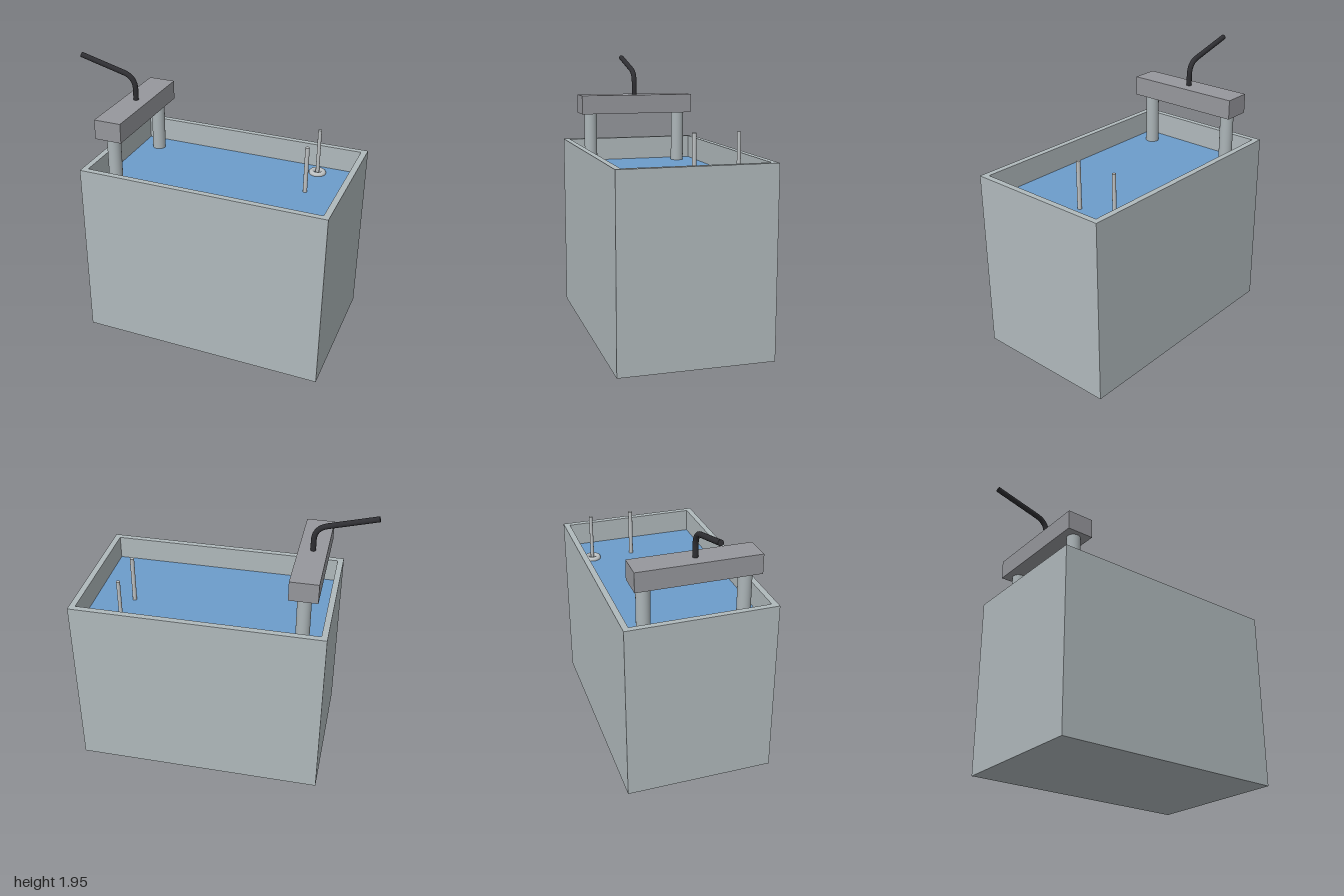
import * as THREE from 'three';

const material = (name, color) => {
  const m = new THREE.MeshStandardMaterial({ color });
  m.name = name;
  return m;
};

export function createModel() {
  const group = new THREE.Group();
  const tankGrey = material('tank grey', 0xb0b9bc);
  const waterBlue = material('water blue', 0x6c9ccb);
  const beamGrey = material('beam grey', 0x96979c);
  const postGrey = material('post grey', 0xacb5b8);
  const rodGrey = material('rod grey', 0xbcc0c2);
  const handleBlack = material('handle black', 0x2e2e32);

  const add = (name, geometry, mat, x = 0, y = 0, z = 0) => {
    const mesh = new THREE.Mesh(geometry, mat);
    mesh.name = name;
    mesh.position.set(x, y, z);
    group.add(mesh);
    return mesh;
  };
  const upright = (name, radius, bottom, top, x, z, mat) =>
    add(name, new THREE.CylinderGeometry(radius, radius, top - bottom, 24), mat, x, (bottom + top) / 2, z);

  // Open tank: four walls from one extruded frame, plus a floor
  const x0 = -0.758, x1 = 0.999, halfZ = 0.528, wall = 0.042, height = 1.3, waterY = 1.13;
  const rect = (Kind, inset) => new Kind([
    new THREE.Vector2(x0 + inset, -halfZ + inset),
    new THREE.Vector2(x1 - inset, -halfZ + inset),
    new THREE.Vector2(x1 - inset, halfZ - inset),
    new THREE.Vector2(x0 + inset, halfZ - inset),
  ]);
  const frame = rect(THREE.Shape, 0);
  frame.holes.push(rect(THREE.Path, wall));
  const walls = new THREE.ExtrudeGeometry(frame, { depth: height, bevelEnabled: false });
  walls.rotateX(-Math.PI / 2);
  add('tankWalls', walls, tankGrey);
  const midX = (x0 + x1) / 2;
  const innerW = x1 - x0 - 2 * wall, innerD = 2 * (halfZ - wall);
  add('tankFloor', new THREE.BoxGeometry(innerW, wall, innerD), tankGrey, midX, wall / 2, 0);
  add('water', new THREE.BoxGeometry(innerW, waterY - wall, innerD), waterBlue, midX, (waterY + wall) / 2, 0);

  // Beam across the tank, standing on two posts
  const beamX = -0.578;
  for (const side of [-1, 1]) {
    upright(side > 0 ? 'frontPost' : 'backPost', 0.048, 1.0, 1.51, beamX, side * 0.348, postGrey);
  }
  add('beam', new THREE.BoxGeometry(0.195, 0.14, 0.86), beamGrey, beamX, 1.58, 0);

  // Bent handle with a capped free end
  const v = (x, y) => new THREE.Vector3(x, y, 0);
  const path = new THREE.CurvePath();
  const bendStart = v(beamX, 1.725), corner = v(beamX, 1.816), bendEnd = v(-0.665, 1.839), tip = v(-0.995, 1.927);
  path.add(new THREE.LineCurve3(v(beamX, 1.64), bendStart));
  path.add(new THREE.QuadraticBezierCurve3(bendStart, corner, bendEnd));
  path.add(new THREE.LineCurve3(bendEnd, tip));
  add('handle', new THREE.TubeGeometry(path, 48, 0.019, 16), handleBlack);
  const cap = add('handleEnd', new THREE.CircleGeometry(0.019, 16), handleBlack, tip.x, tip.y, 0);
  cap.lookAt(tip.clone().multiplyScalar(2).sub(bendEnd));

  // Two thin rods in the water, one rising through a float ring
  upright('sensorRod', 0.015, 1.08, 1.47, 0.675, -0.072, rodGrey);
  upright('floatRod', 0.013, 1.08, 1.47, 0.675, -0.38, rodGrey);
  const ring = new THREE.TorusGeometry(0.043, 0.019, 16, 40);
  ring.rotateX(Math.PI / 2);
  add('floatRing', ring, rodGrey, 0.675, waterY + 0.005, -0.38);

  return group;
}
